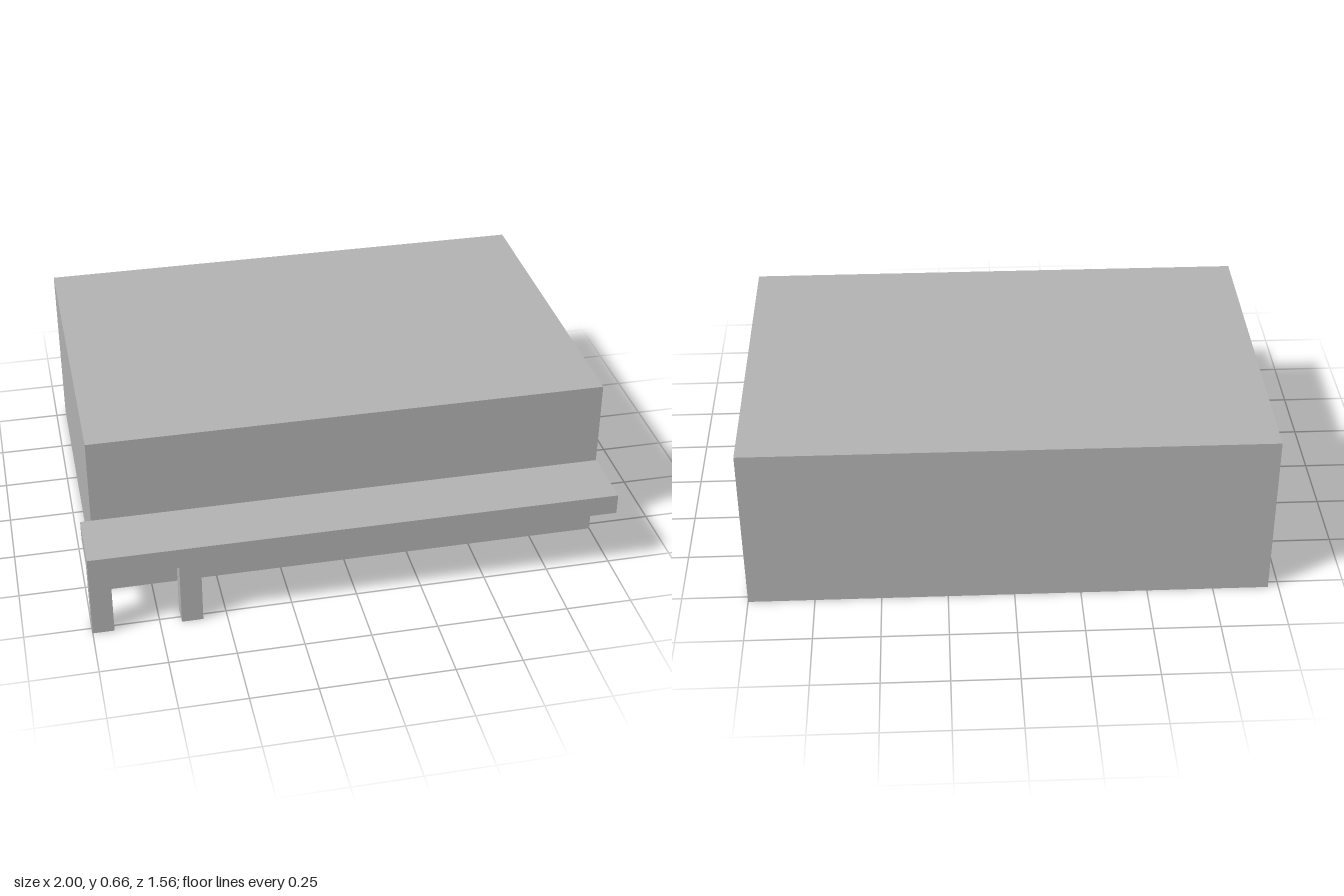
import * as THREE from 'three';

// Box between two corners, with the listed faces left open
// (face order: 0 +x, 1 -x, 2 +y, 3 -y, 4 +z, 5 -z)
function shell(name, material, [x0, y0, z0], [x1, y1, z1], openFaces) {
  const geometry = new THREE.BoxGeometry(x1 - x0, y1 - y0, z1 - z0);
  const index = Array.from(geometry.index.array);
  geometry.setIndex(index.filter((_, i) => !openFaces.includes(Math.floor(i / 6))));
  geometry.clearGroups();
  geometry.translate((x0 + x1) / 2, (y0 + y1) / 2, (z0 + z1) / 2);
  const mesh = new THREE.Mesh(geometry, material);
  mesh.name = name;
  return mesh;
}

export function createModel() {
  const model = new THREE.Group();
  model.name = 'buildingWithPorch';

  const grey = new THREE.MeshStandardMaterial({ color: 0xb2b2b2, side: THREE.DoubleSide });
  grey.name = 'plain grey';

  // Main hall, open underneath
  model.add(shell('hall', grey, [-0.96, 0, -0.78], [1, 0.66, 0.53], [3]));

  // Porch: hollow canopy along the front, carried by two hollow posts
  const porch = new THREE.Group();
  porch.name = 'porch';
  porch.add(shell('canopy', grey, [-1, 0.25, 0.535], [1, 0.33, 0.78], [3]));
  for (const x of [-1, -0.67]) {
    porch.add(shell('post', grey, [x, 0, 0.7], [x + 0.08, 0.25, 0.78], [2, 3]));
  }
  model.add(porch);

  return model;
}
